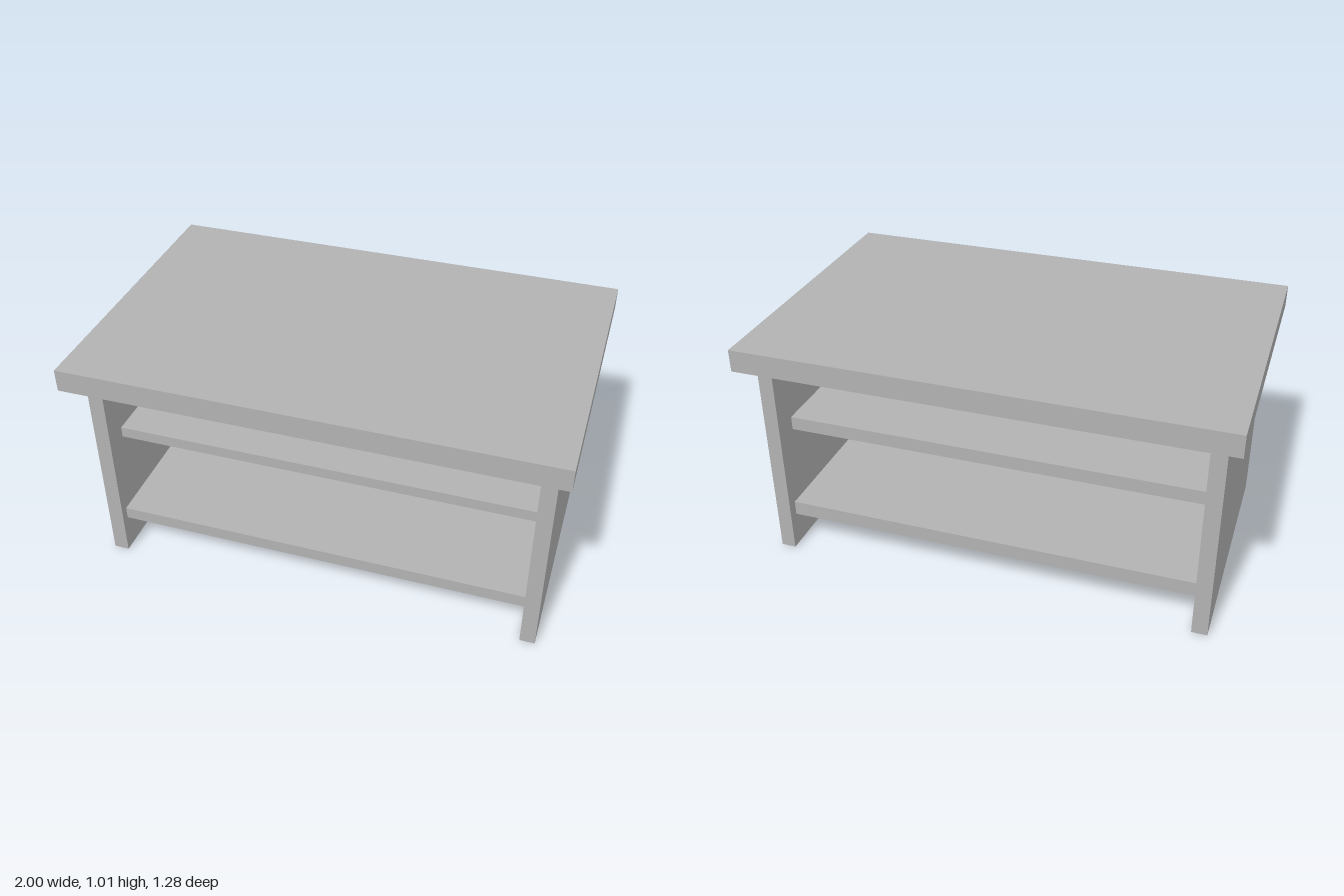
import * as THREE from 'three';

export function createModel() {
  const group = new THREE.Group();
  const gray = new THREE.MeshStandardMaterial({ color: 0xb2b2b2, side: THREE.DoubleSide });
  gray.name = 'gray';

  // Box between two corners, leaving out the listed faces (0 +x, 1 -x, 2 +y, 3 -y, 4 +z, 5 -z)
  function openBox(name, [x0, y0, z0], [x1, y1, z1], omit) {
    const geometry = new THREE.BoxGeometry(x1 - x0, y1 - y0, z1 - z0);
    geometry.translate((x0 + x1) / 2, (y0 + y1) / 2, (z0 + z1) / 2);
    const index = Array.from(geometry.index.array);
    geometry.setIndex(index.filter((_, i) => !omit.includes(Math.floor(i / 6))));
    geometry.clearGroups();
    const mesh = new THREE.Mesh(geometry, gray);
    mesh.name = name;
    group.add(mesh);
    return mesh;
  }

  // Table top: hollow slab, open underneath
  openBox('tableTop', [-1, 0.913, -0.638], [1, 1.007, 0.638], [3]);

  // Side panels: hollow, open at the floor
  openBox('rightPanel', [-0.94, 0, -0.543], [-0.875, 0.93, 0.535], [3]);
  openBox('leftPanel', [0.884, 0, -0.543], [0.947, 0.93, 0.535], [3]);

  // Shelves: a top sheet with front and back skirts; the back skirt hangs slightly lower
  const shelves = [
    { name: 'lowerShelf', top: 0.214, front: 0.16, back: 0.15, z0: -0.5, z1: 0.5 },
    { name: 'upperShelf', top: 0.61, front: 0.563, back: 0.551, z0: -0.44, z1: 0.435 },
  ];
  for (const s of shelves) {
    const shelf = openBox(s.name, [-0.875, s.front, s.z0], [0.884, s.top, s.z1], [0, 1, 3]);
    const p = shelf.geometry.attributes.position;
    for (let i = 0; i < p.count; i++) {
      if (p.getZ(i) < 0 && p.getY(i) < s.top - 0.01) p.setY(i, s.back);
    }
  }

  return group;
}
